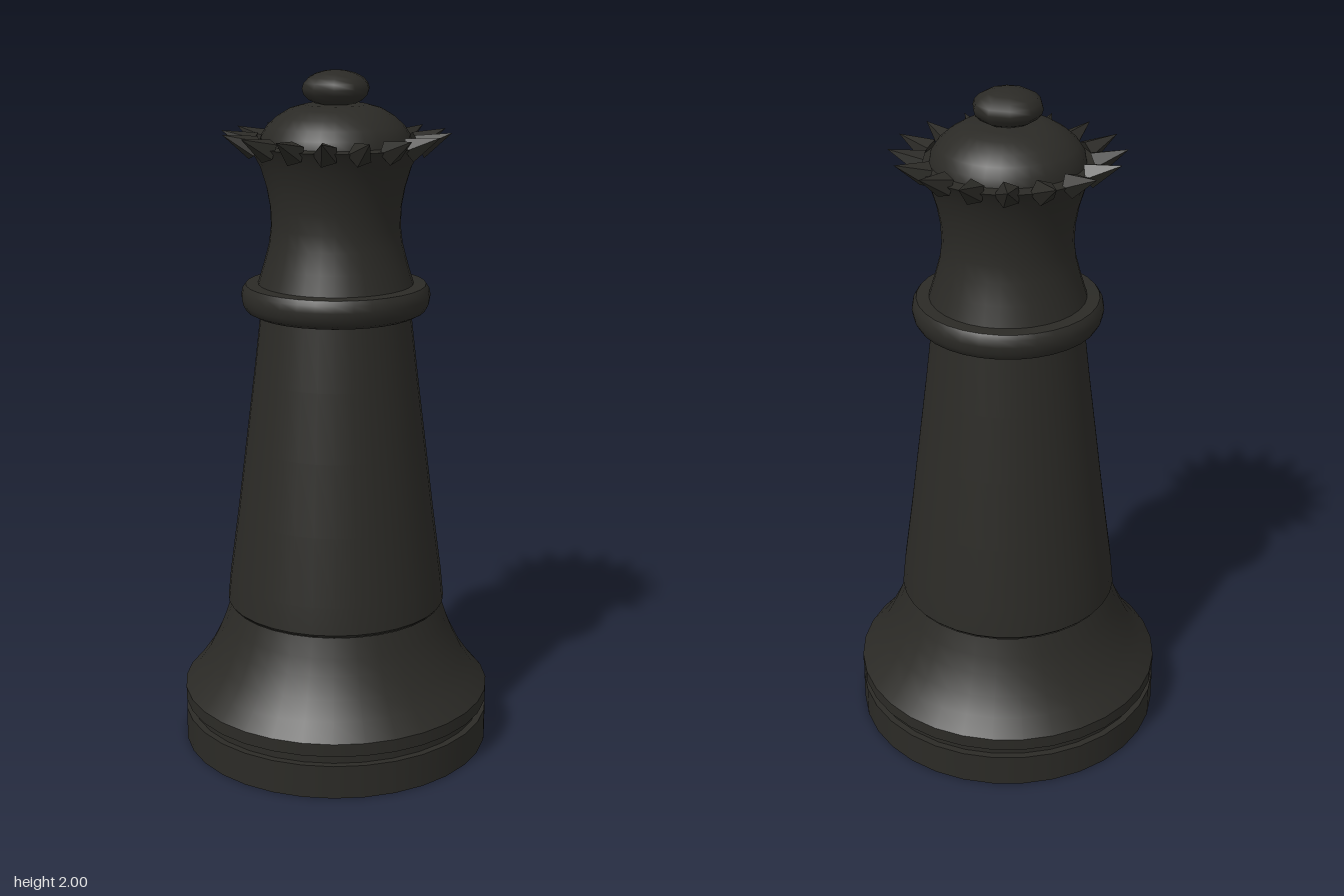
import * as THREE from 'three';

const material = new THREE.MeshStandardMaterial({ color: 0x2b2a26, side: THREE.DoubleSide });

// Smooth turned part from [radius, height] pairs
function turned(name, pairs, sides = 32) {
  const points = pairs.map(([r, y]) => new THREE.Vector2(r, y));
  const mesh = new THREE.Mesh(new THREE.LatheGeometry(points, sides), material);
  mesh.name = name;
  return mesh;
}

// Quarter-ellipse style profile around a centre on the axis
function arc(rx, ry, cy, from, to, steps) {
  return Array.from({ length: steps + 1 }, (_, i) => {
    const a = from + (to - from) * i / steps;
    return [Math.max(0, rx * Math.cos(a)), cy + ry * Math.sin(a)];
  });
}

export function createModel() {
  const model = new THREE.Group();
  model.name = 'chessQueen';

  // Base: plinth disc, recessed groove and flared foot, each with crisp edges
  model.add(
    turned('plinthBottom', [[0, 0], [0.46, 0]]),
    turned('plinthSide', [[0.46, 0], [0.46, 0.1]]),
    turned('plinthTop', [[0.46, 0.1], [0.44, 0.1]]),
    turned('groove', [[0.44, 0.1], [0.44, 0.13]]),
    turned('footUnderside', [[0.44, 0.13], [0.46, 0.13]]),
    turned('footRim', [[0.46, 0.13], [0.46, 0.168]]),
    turned('footFlare', [[0.46, 0.168], [0.42, 0.215], [0.385, 0.265], [0.355, 0.325], [0.335, 0.375], [0.317, 0.43]])
  );

  // Tapered shaft with a small lip at its foot
  model.add(
    turned('shaftLip', [[0.315, 0.43], [0.325, 0.44]]),
    turned('shaft', [[0.325, 0.44], [0.317, 0.52], [0.29, 0.72], [0.264, 0.93], [0.239, 1.13], [0.217, 1.32]])
  );

  // Collar: rounded ring with a flat top
  model.add(
    turned('collar', [[0.21, 1.312], [0.24, 1.314], [0.259, 1.324], [0.269, 1.342], [0.273, 1.365], [0.269, 1.385], [0.26, 1.398]]),
    turned('collarTop', [[0.26, 1.398], [0.215, 1.4]])
  );

  // Waisted neck opening into the crown cup
  model.add(
    turned('neck', [[0.224, 1.4], [0.207, 1.455], [0.191, 1.515], [0.185, 1.565], [0.187, 1.62], [0.197, 1.675], [0.215, 1.735], [0.242, 1.785], [0.25, 1.795]]),
    turned('cupRim', [[0.25, 1.795], [0.205, 1.8]])
  );

  // Dome and finial
  model.add(
    turned('dome', [[0.215, 1.795], [0.21, 1.822], [0.193, 1.848], [0.165, 1.873], [0.13, 1.894], [0.09, 1.905], [0, 1.91]]),
    turned('finial', arc(0.098, 0.051, 1.949, -Math.PI / 2, Math.PI / 2, 10), 10)
  );

  // Ring of faceted spikes leaning outward
  const spikeGeometry = new THREE.ConeGeometry(0.036, 0.098, 5).toNonIndexed();
  spikeGeometry.computeVertexNormals();
  const up = new THREE.Vector3(0, 1, 0);
  const crown = new THREE.Group();
  crown.name = 'crownSpikes';
  for (let i = 0; i < 16; i++) {
    const a = i * Math.PI / 8 - 0.096;
    const spike = new THREE.Mesh(spikeGeometry, material);
    spike.name = 'spike';
    const spin = new THREE.Group();
    spin.rotation.y = -a;
    spike.position.set(0.281, 1.81, 0);
    spike.quaternion.setFromUnitVectors(up, new THREE.Vector3(0.92, 0.39, 0).normalize());
    spin.add(spike);
    crown.add(spin);
  }
  model.add(crown);

  return model;
}
